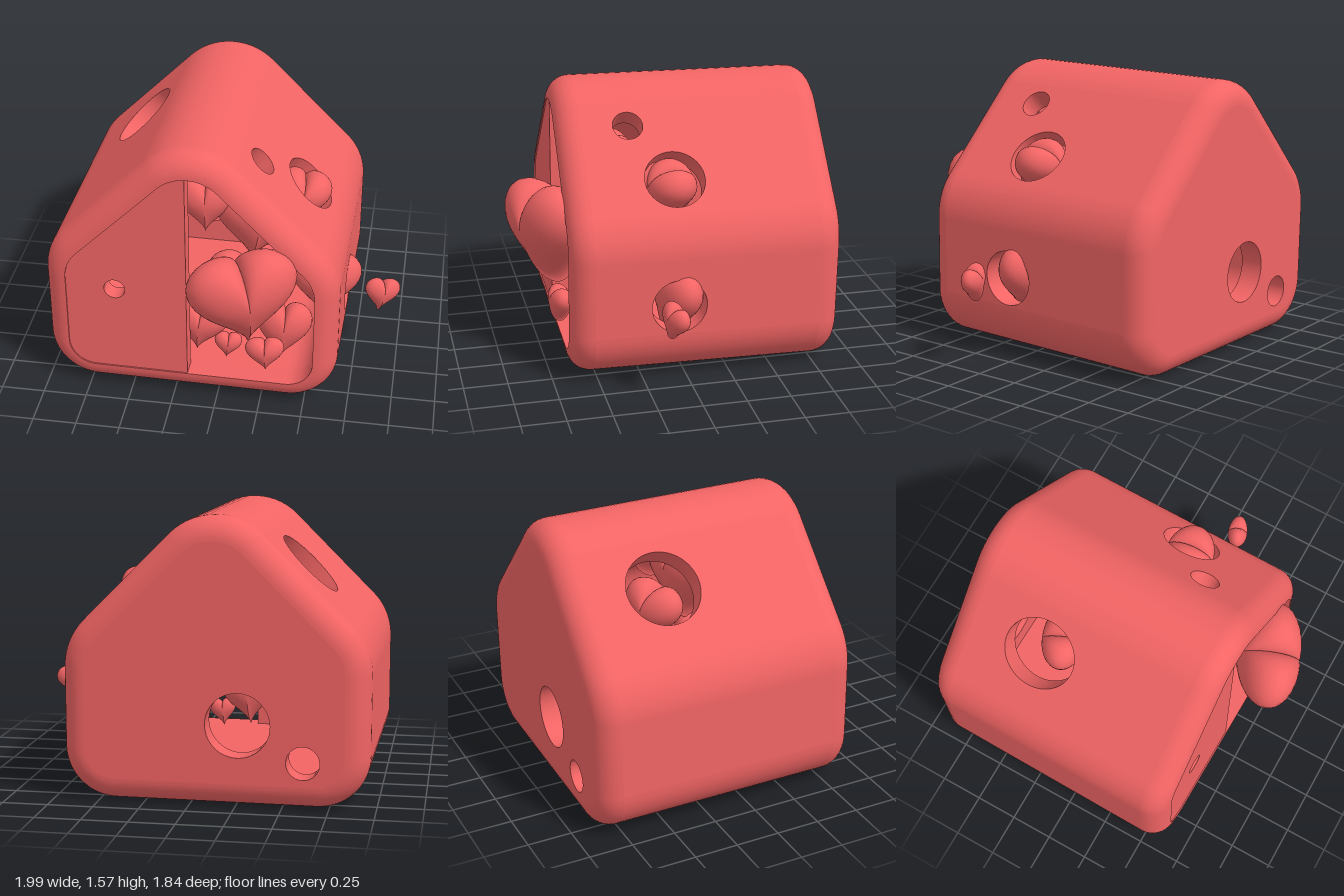
import * as THREE from 'three';
import { toCreasedNormals } from 'three/addons/utils/BufferGeometryUtils.js';

const material = new THREE.MeshStandardMaterial({ color: 0xf26464 });
const WALL = 0.13, FRONT = 0.65, BACK = -0.89;

function addMesh(parent, name, geometry) {
  const mesh = new THREE.Mesh(toCreasedNormals(geometry, 0.6), material);
  mesh.name = name;
  parent.add(mesh);
  return mesh;
}

// Rounded house outline, anticlockwise: one arc of { p, n } per corner
function houseArcs() {
  const corners = [[-0.98, 0.01, 0.285], [0.69, 0.01, 0.285], [0.69, 0.88, 0.36],
    [-0.145, 1.715, 0.36], [-0.98, 0.88, 0.36]];
  const at = i => new THREE.Vector2(...corners[(i + 5) % 5].slice(0, 2));
  const normal = i => {
    const d = at(i + 1).sub(at(i)).normalize();
    return new THREE.Vector2(d.y, -d.x);
  };
  return corners.map(([, , r], i) => {
    const n0 = normal(i - 1), n1 = normal(i);
    const centre = at(i).addScaledVector(n0.clone().add(n1), -r / (1 + n0.dot(n1)));
    const a0 = Math.atan2(n0.y, n0.x), sweep = Math.acos(n0.dot(n1)), arc = [];
    for (let k = 0; k <= 14; k++) {
      const a = a0 + sweep * k / 14;
      const n = new THREE.Vector2(Math.cos(a), Math.sin(a));
      arc.push({ p: centre.clone().addScaledVector(n, r), n });
    }
    return arc;
  });
}

// Sweeps a closed section of [inset, z] along outline points
function loft(path, section, closed) {
  const pos = [], idx = [], m = section.length;
  for (const { p, n } of path)
    for (const [inset, z] of section) pos.push(p.x - n.x * inset, p.y - n.y * inset, z);
  const spans = closed ? path.length : path.length - 1;
  for (let i = 0; i < spans; i++)
    for (let j = 0; j < m; j++) {
      const a = i * m + j, b = i * m + (j + 1) % m;
      const c = ((i + 1) % path.length) * m + j, d = ((i + 1) % path.length) * m + (j + 1) % m;
      idx.push(a, c, b, c, d, b);
    }
  const g = new THREE.BufferGeometry();
  g.setAttribute('position', new THREE.Float32BufferAttribute(pos, 3));
  g.setIndex(idx);
  return g;
}

// Flat plate with round holes [x, y, radius]
function plate(points, holes, depth) {
  const shape = new THREE.Shape(points);
  for (const [x, y, r] of holes)
    shape.holes.push(new THREE.Path().absarc(x, y, r, 0, Math.PI * 2, true));
  return new THREE.ExtrudeGeometry(shape, { depth, bevelEnabled: false, curveSegments: 40 });
}

function buildHouse() {
  const house = new THREE.Group();
  house.name = 'house';
  const arcs = houseArcs(), outline = arcs.flat();
  const z0 = BACK + WALL, z1 = FRONT - WALL;

  // Rounded rims at front and back
  const front = [], back = [];
  for (let k = 0; k <= 10; k++) {
    const a = k / 10 * Math.PI / 2, c = WALL * (1 - Math.cos(a)), s = WALL * Math.sin(a);
    front.push([c, z1 + s]);
    back.unshift([c, z0 - s]);
  }
  addMesh(house, 'frontRim', loft(outline, [...front, [WALL, z1]], true));
  addMesh(house, 'backRim', loft(outline, [...back, [WALL, z0]], true));

  // Rounded corners and flat walls; wall holes are [x, y, z, radius]
  const walls = [
    ['floor', []],
    ['rightWall', [[0.69, 0.46, 0.05, 0.155]]],
    ['rightRoof', [[0.45, 1.12, 0.035, 0.17], [0.205, 1.365, 0.255, 0.085]]],
    ['leftRoof', [[-0.595, 1.265, -0.335, 0.21]]],
    ['leftWall', []],
  ];
  walls.forEach(([name, holes], i) => {
    addMesh(house, name + 'Corner', loft(arcs[i], [[0, z0], [0, z1], [WALL, z1], [WALL, z0]], false));
    const a = arcs[i].at(-1), b = arcs[(i + 1) % 5][0];
    const mid = a.p.clone().add(b.p).multiplyScalar(0.5), half = a.p.distanceTo(b.p) / 2;
    const dir = b.p.clone().sub(a.p).normalize();
    const corners = [[-half, z0], [half, z0], [half, z1], [-half, z1]].map(c => new THREE.Vector2(...c));
    const local = holes.map(([x, y, z, r]) => [new THREE.Vector2(x, y).sub(mid).dot(dir), z, r]);
    const g = plate(corners, local, WALL);
    g.applyMatrix4(new THREE.Matrix4().makeBasis(
      new THREE.Vector3(dir.x, dir.y, 0), new THREE.Vector3(0, 0, 1), new THREE.Vector3(a.n.x, a.n.y, 0)
    ).setPosition(mid.x - a.n.x * WALL, mid.y - a.n.y * WALL, 0));
    addMesh(house, name, g);
  });

  // Back wall with two holes, and the half panel closing the front
  const inset = arc => arc.map(({ p, n }) => p.clone().addScaledVector(n, -WALL));
  const backWall = plate(arcs.flatMap(inset), [[-0.28, 0.46, 0.175], [-0.63, 0.27, 0.09]], WALL);
  addMesh(house, 'backWall', backWall.translate(0, 0, BACK));
  const cut = -0.16;
  const half = [...inset(arcs[0]), new THREE.Vector2(cut, 0.14), new THREE.Vector2(cut, 1.435),
    ...[arcs[3], arcs[4]].flatMap(inset).filter(p => p.x < cut - 0.005)];
  addMesh(house, 'frontPanel', plate(half, [[-0.57, 0.68, 0.06]], 0.1).translate(0, 0, FRONT - 0.108));

  house.rotation.set(-0.012, -0.017, 0);
  return house;
}

// Puffy heart: sphere vertices moved onto a heart outline
function heartGeometry() {
  const g = new THREE.SphereGeometry(1, 56, 20).rotateX(Math.PI / 2);
  const pos = g.attributes.position;
  for (let i = 0; i < pos.count; i++) {
    const x = pos.getX(i), y = pos.getY(i), s = Math.hypot(x, y), t = Math.atan2(x, y);
    const h = 13 * Math.cos(t) - 4 * Math.cos(2 * t) - 1.5 * Math.cos(3 * t) - 0.7 * Math.cos(4 * t);
    pos.setXYZ(i, 0.5 * s * Math.sin(t) ** 3, (s * h + 2.6) / 27.3, pos.getZ(i) * 0.5);
  }
  return g;
}

export function createModel() {
  const model = new THREE.Group();
  model.name = 'heartHouse';
  model.add(buildHouse());

  // Hearts: name, position, [width, height, thickness], rotation
  const hearts = [
    ['bigHeart', [0.155, 0.75, 0.69], [0.62, 0.62, 0.36], [0.25, 0.4, 0]],
    ['outsideHeart', [0.89, 0.46, 0.13], [0.21, 0.21, 0.12], [0, 0.35, -0.2]],
    ['rightHoleHeart', [0.55, 0.44, 0.04], [0.42, 0.42, 0.25], [0, 0.2, -0.1]],
    ['roofHoleHeart', [0.4, 1.03, 0.04], [0.32, 0.33, 0.28], [0, 0.1, -0.2]],
    ['leftRoofHeart', [-0.4, 1.03, -0.33], [0.36, 0.36, 0.24], [0, 0.4, 0.1]],
    ['upperHeart', [-0.12, 1.06, 0.25], [0.33, 0.34, 0.2], [0, 0.1, 0]],
    ['middleHeart', [0.16, 0.93, 0.15], [0.55, 0.52, 0.32], [0, 0.2, -0.15]],
    ['lowerMiddleHeart', [0.08, 0.5, 0.2], [0.4, 0.42, 0.26], [0, 0, 0]],
    ['smallFrontHeart', [0.28, 0.36, 0.66], [0.22, 0.21, 0.13], [0, 0.1, 0.05]],
    ['lowerRightHeart', [0.35, 0.34, 0.4], [0.32, 0.38, 0.2], [0, 0.1, -0.1]],
    ['lowerLeftHeart', [-0.13, 0.34, 0.42], [0.33, 0.33, 0.2], [0, 0, -0.1]],
    ['tinyHeart', [0.035, 0.235, 0.45], [0.16, 0.17, 0.1], [0, 0.1, -0.1]],
  ];
  const geometry = toCreasedNormals(heartGeometry(), 0.9);
  for (const [name, position, size, rotation] of hearts) {
    const heart = new THREE.Mesh(geometry, material);
    heart.name = name;
    heart.position.set(...position);
    heart.scale.set(...size);
    heart.rotation.set(...rotation);
    model.add(heart);
  }
  return model;
}
